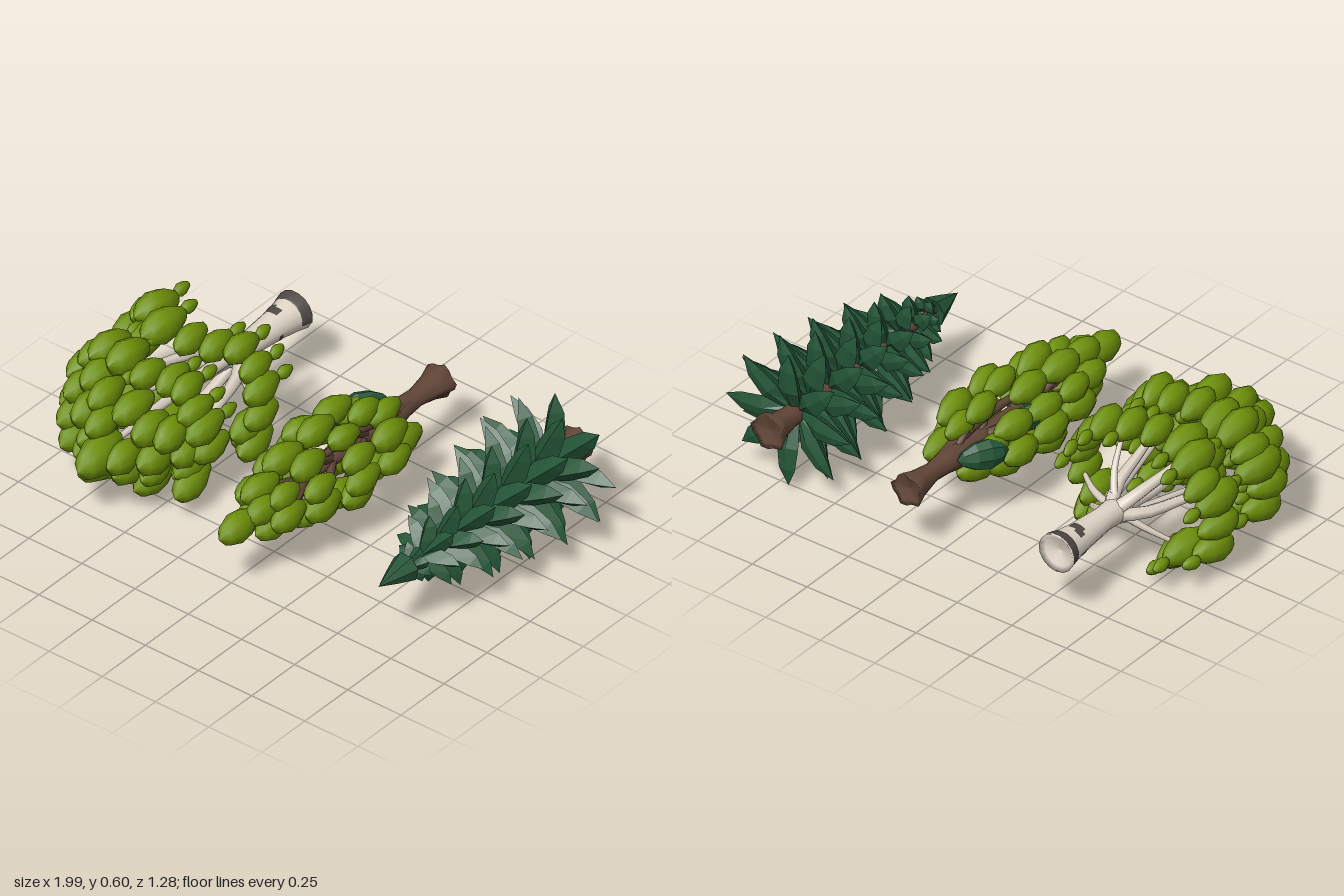
import * as THREE from 'three';

const mat = (name, color, flatShading = false) => {
  const m = new THREE.MeshStandardMaterial({ color, flatShading });
  m.name = name;
  return m;
};
const leafGreen = mat('leafGreen', 0x6f920a);
const pineGreen = mat('pineGreen', 0x245537, true);
const bark = mat('brownBark', 0x624638);
const paleBark = mat('paleBark', 0xe2d7c9);
const darkBark = mat('darkBark', 0x504946);

const V = (x, y, z) => new THREE.Vector3(x, y, z);
const hash = (i) => { const s = Math.sin(i * 12.9898 + 4.1) * 43758.5453; return (s - Math.floor(s)) * 2 - 1; };

function add(parent, name, geometry, material) {
  const mesh = new THREE.Mesh(geometry, material);
  mesh.name = name;
  parent.add(mesh);
  return mesh;
}

function lathe(profile, sides, start = 0, sweep = Math.PI * 2) {
  return new THREE.LatheGeometry(profile.map(([r, y]) => new THREE.Vector2(r, y)), sides, start, sweep);
}

// Round trunk whose foot can swell into root lobes
function trunkGeometry(profile, lobes = 0) {
  const g = lathe(profile, 15);
  const p = g.attributes.position;
  for (let i = 0; i < p.count; i++) {
    const k = 1 + lobes * Math.max(0, 1 - p.getY(i) / 0.12) * Math.cos(5 * Math.atan2(p.getZ(i), p.getX(i)));
    p.setX(i, p.getX(i) * k);
    p.setZ(i, p.getZ(i) * k);
  }
  g.computeVertexNormals();
  return g;
}

// Curved branch that thins towards its end
function branch(parent, points, r0, r1, material) {
  const curve = new THREE.CatmullRomCurve3(points);
  const rows = 8, sides = 6;
  const g = new THREE.TubeGeometry(curve, rows, 1, sides);
  const p = g.attributes.position, v = V(0, 0, 0);
  for (let i = 0; i < p.count; i++) {
    const t = Math.floor(i / (sides + 1)) / rows;
    const c = curve.getPointAt(t);
    v.fromBufferAttribute(p, i).sub(c).multiplyScalar(r0 + (r1 - r0) * t).add(c);
    p.setXYZ(i, v.x, v.y, v.z);
  }
  add(parent, 'branch', g, material);
}

// Leaf clump: faceted pod, pointed at both ends
const pod = lathe([[0, -0.115], [0.026, -0.09], [0.048, -0.035], [0.054, 0.025], [0.037, 0.08], [0, 0.115]], 8);

function leaf(parent, pos, scale, seed, material = leafGreen) {
  const m = add(parent, 'leafClump', pod, material);
  m.position.copy(pos);
  m.scale.set(scale, scale, scale * 1.3);
  m.rotation.set(hash(seed) * 0.12 + pos.z * 0.35, 0, hash(seed + 7) * 0.12 - pos.x * 0.25);
  return m;
}

function paleTree() {
  const tree = new THREE.Group();
  tree.name = 'paleTree';
  add(tree, 'trunk', trunkGeometry([[0, 0.03], [0.06, 0.012], [0.08, 0], [0.07, 0.045], [0.059, 0.12],
    [0.046, 0.28], [0.05, 0.34], [0.035, 0.4], [0, 0.42]]), paleBark);
  // Dark bark patches wrap the upper side of the trunk
  add(tree, 'darkFoot', lathe([[0.083, 0.001], [0.074, 0.04], [0.07, 0.046]], 9, Math.PI - 1.8, 3.6), darkBark);
  for (const [a, y, w, h] of [[3.3, 0.115, 0.9, 0.035], [3.7, 0.1, 0.6, 0.03], [1.2, 0.15, 0.6, 0.02],
    [5.3, 0.1, 0.7, 0.025], [0.2, 0.2, 0.6, 0.02]]) {
    const r = (t) => 0.074 - t * 0.11;
    add(tree, 'barkMark', lathe([[r(y - h / 2), y - h / 2], [r(y + h / 2), y + h / 2]], 5, a - w / 2, w), darkBark);
  }

  // Clumps by row: [up from axis, positions across]
  const rows = [
    [0.215, [-0.2, -0.11, 0.02, 0.12, 0.2]],
    [0.15, [-0.27, -0.17, -0.06, 0.07, 0.26]],
    [0.08, [-0.3, -0.22, -0.11, -0.02, 0.14, 0.22, 0.3]],
    [-0.03, [-0.31, -0.23, -0.09, 0.08, 0.17, 0.24, 0.305]],
    [-0.1, [-0.21, -0.13, -0.03, 0.07, 0.16, 0.25]],
    [-0.17, [-0.26, -0.18, 0.03, 0.12, 0.21, 0.27]],
    [-0.235, [-0.11]],
  ];
  const foliage = new THREE.Group();
  foliage.name = 'foliage';
  foliage.position.x = -0.02;
  tree.add(foliage);
  let n = 0;
  // A small bud sits on the tail of many clumps
  const budded = (pos, size, seed) => {
    leaf(foliage, pos, size, seed);
    if (seed % 3) leaf(foliage, pos.clone().add(V(0, -0.14 * size, 0)), 0.42, seed + 3);
  };
  for (const [up, xs] of rows) {
    for (const x of xs) {
      n++;
      const rho = Math.hypot(x / 0.33, up / 0.25);
      const size = 0.95 + 0.12 * hash(n + 50);
      if (rho < 0.78) {
        // Inner clumps close the front of the dome
        budded(V(x, 1.11 - 0.33 * rho * rho + hash(n) * 0.05, -up), size, n);
        continue;
      }
      // Outer clumps sit in a rear and a front ring
      const spread = Math.abs(up) > 0.14 ? 0.08 : 0.035;
      const rear = V(x, 0.56 + hash(n) * spread, -up);
      budded(rear, size, n);
      budded(V(x * 0.95, 0.85 + hash(n + 9) * spread, -up * 0.92), size, n + 21);
      if (n % 4 === 0) {
        branch(tree, [V(x * 0.1, 0.37, -up * 0.1), V(x * 0.5, 0.43, -up * 0.5), rear], 0.018, 0.008, paleBark);
      }
    }
  }
  leaf(foliage, V(0.01, 1.125, 0.02), 1.2, 3);

  // Limbs fork from the trunk head
  branch(tree, [V(0, 0.36, 0), V(-0.02, 0.6, 0.01), V(-0.01, 0.8, 0), V(0, 1.05, 0)], 0.034, 0.01, paleBark);
  for (let i = 0; i < 5; i++) {
    const a = i * 1.257 + 0.3;
    const at = (r, y) => V(Math.cos(a) * r, y, Math.sin(a) * r * 0.8);
    branch(tree, [at(0.01, 0.33), at(0.08, 0.43), at(0.13, 0.6), at(0.2, 0.85)], 0.03, 0.01, paleBark);
  }
  return tree;
}

function slimTree() {
  const tree = new THREE.Group();
  tree.name = 'slimTree';
  add(tree, 'trunk', trunkGeometry([[0, 0.02], [0.05, 0.008], [0.066, 0], [0.05, 0.06], [0.036, 0.15], [0.042, 0.22],
    [0.052, 0.28], [0.035, 0.36], [0.028, 0.65], [0.018, 0.9], [0, 1.1]], 0.14), bark);
  // Rings of clumps: [height, half width, half depth, count, phase]
  const rings = [
    [0.36, 0.11, 0.08, 4, 0.2],
    [0.47, 0.16, 0.115, 7, 0.3],
    [0.66, 0.17, 0.125, 10, 0],
    [0.85, 0.13, 0.115, 8, 0.5],
    [1.0, 0.09, 0.075, 6, 0.2],
  ];
  let n = 0;
  for (const [h, rx, rz, count, phase] of rings) {
    for (let i = 0; i < count; i++) {
      n++;
      const a = ((i + phase) / count) * Math.PI * 2;
      const pos = V(rx * Math.cos(a), h + hash(n) * 0.03, rz * Math.sin(a));
      leaf(tree, pos, 0.87 + 0.08 * hash(n + 50), n);
      if (n % 2) continue;
      const y = Math.max(0.24, pos.y - 0.2);
      branch(tree, [V(0, y, 0), V(pos.x * 0.5, y + 0.09, pos.z * 0.5), pos], 0.022, 0.008, bark);
    }
  }
  leaf(tree, V(0, 1.175, 0), 0.95, 2);
  leaf(tree, V(0.03, 1.07, -0.03), 0.85, 9);
  // Upper limb along the top of the crown
  branch(tree, [V(0.01, 0.22, -0.01), V(0.02, 0.35, -0.04), V(0.015, 0.5, -0.06), V(0.01, 0.75, -0.05)], 0.03, 0.012, bark);
  // Two dark clumps
  leaf(tree, V(-0.1, 0.33, -0.02), 0.9, 4, pineGreen).rotation.z = 0.5;
  leaf(tree, V(-0.11, 0.59, -0.05), 0.8, 6, pineGreen).rotation.z = 0.4;
  return tree;
}

// Drooping solid needle blade with a ridge, two side edges and a keel
function bladeGeometry(length, drop, width) {
  // [reach, ridge, side, keel, half width] as fractions
  const sections = [
    [0.03, 0, -0.4, -0.6, 0.4],
    [0.42, -0.3, -0.95, -1.1, 1],
    [0.74, -0.62, -1.05, -1.14, 0.75],
    [1, -1, -1, -1, 0],
  ];
  const points = [], index = [];
  sections.forEach(([t, ridge, side, keel, w], i) => {
    const x = t * length;
    points.push(x, ridge * drop, 0, x, side * drop, w * width, x, keel * drop, 0, x, side * drop, -w * width);
    if (i === 0) return;
    for (let k = 0; k < 4; k++) {
      const a = (i - 1) * 4 + k, b = (i - 1) * 4 + ((k + 1) % 4);
      index.push(a, b, a + 4, b, b + 4, a + 4);
    }
  });
  const g = new THREE.BufferGeometry();
  g.setAttribute('position', new THREE.Float32BufferAttribute(points, 3));
  g.setIndex(index);
  g.computeVertexNormals();
  return g;
}

function pineTree() {
  const tree = new THREE.Group();
  tree.name = 'pineTree';
  add(tree, 'trunk', trunkGeometry([[0, 0.02], [0.055, 0.008], [0.074, 0], [0.052, 0.05], [0.042, 0.12], [0.038, 0.4],
    [0.026, 0.75], [0.012, 1.02], [0, 1.08]], 0.12), bark);
  // Tiers of blades, turned half a step each time
  const reach = [0.285, 0.295, 0.285, 0.275, 0.255, 0.24, 0.22, 0.19, 0.15, 0.085];
  reach.forEach((r, i) => {
    const tier = new THREE.Group();
    tier.name = 'needleTier';
    const drop = 0.05 + r * 0.18;
    const blade = bladeGeometry(r, drop, 0.02 + r * 0.1);
    for (let k = 0; k < 8; k++) {
      const b = add(tier, 'needleBlade', blade, pineGreen);
      b.rotation.y = ((k + (i % 2) / 2) / 8) * Math.PI * 2 + hash(i * 8 + k) * 0.06;
      b.position.y = hash(i * 8 + k + 90) * 0.012;
    }
    tier.position.y = 0.115 + i * 0.092 + drop;
    tree.add(tier);
  });
  // Pointed top
  add(tree, 'topSpike', lathe([[0.012, 1.01], [0.06, 0.99], [0.032, 1.07], [0, 1.15]], 7), pineGreen);
  return tree;
}

export function createModel() {
  const model = new THREE.Group();
  model.name = 'threeTrees';
  // Each tree lies on its side, foot to the back and tip to the front
  for (const [tree, x] of [[paleTree(), -0.62], [slimTree(), 0.065], [pineTree(), 0.7]]) {
    tree.rotation.x = Math.PI / 2;
    tree.position.set(x, 0.31, -0.64);
    model.add(tree);
  }
  return model;
}
